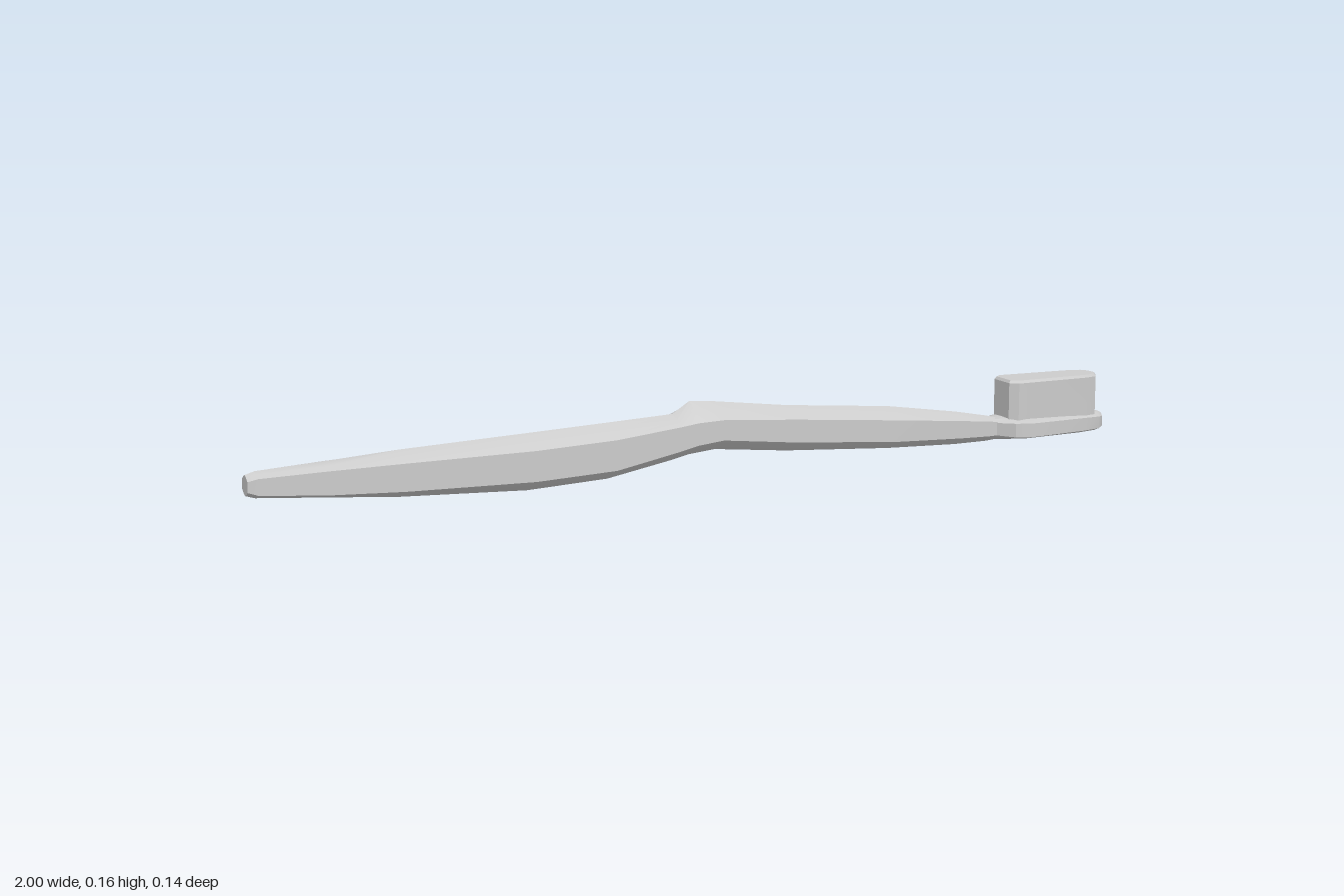
import * as THREE from 'three';
import { toCreasedNormals } from 'three/addons/utils/BufferGeometryUtils.js';

const material = new THREE.MeshStandardMaterial({ color: 0xcccccc });

// Ten-sided cross-sections along x: [x, bottom, lowerSide, upperSide, top, halfWidth]
function loft(sections, flat) {
  const positions = [], index = [], n = 10;
  for (const [x, bottom, low, high, top, w] of sections) {
    const topShoulder = top - (top - high) * flat;
    const bottomShoulder = bottom + (low - bottom) * 0.4;
    const half = [[0, top], [0.52, topShoulder], [1, high], [1, low], [0.52, bottomShoulder], [0, bottom]];
    const ring = [...half, ...half.slice(1, 5).reverse().map(([z, y]) => [-z, y])];
    for (const [z, y] of ring) positions.push(x, y, z * w);
  }
  for (let s = 0; s < sections.length - 1; s++) {
    for (let i = 0; i < n; i++) {
      const a = s * n + i, b = s * n + (i + 1) % n;
      index.push(a, b, a + n, b, b + n, a + n);
    }
  }
  const last = (sections.length - 1) * n;
  for (let i = 1; i < n - 1; i++) {
    index.push(0, i + 1, i, last, last + i, last + i + 1);
  }
  const geometry = new THREE.BufferGeometry();
  geometry.setAttribute('position', new THREE.Float32BufferAttribute(positions, 3));
  geometry.setIndex(index);
  return toCreasedNormals(geometry, 0.5);
}

function addPart(group, name, geometry) {
  const mesh = new THREE.Mesh(geometry, material);
  mesh.name = name;
  group.add(mesh);
}

export function createModel() {
  const group = new THREE.Group();
  group.name = 'toothbrush';

  // Swelling handle with a thumb step at the middle and a slim neck
  addPart(group, 'handle', loft([
    [-1.00, 0.042, 0.052, 0.074, 0.085, 0.020],
    [-0.98, 0.036, 0.046, 0.080, 0.091, 0.028],
    [-0.84, 0.025, 0.038, 0.087, 0.099, 0.046],
    [-0.68, 0.012, 0.032, 0.090, 0.110, 0.050],
    [-0.40, 0.001, 0.029, 0.094, 0.122, 0.056],
    [-0.22, 0.010, 0.037, 0.102, 0.130, 0.056],
    [-0.07, 0.038, 0.065, 0.117, 0.137, 0.051],
    [-0.03, 0.047, 0.074, 0.122, 0.162, 0.050],
    [0.03, 0.053, 0.080, 0.124, 0.157, 0.049],
    [0.20, 0.036, 0.062, 0.112, 0.136, 0.049],
    [0.45, 0.021, 0.043, 0.091, 0.115, 0.048],
    [0.62, 0.016, 0.035, 0.074, 0.090, 0.035],
    [0.70, 0.017, 0.032, 0.065, 0.075, 0.026],
    [0.735, 0.020, 0.032, 0.060, 0.067, 0.020]
  ], 0.4));

  // Paddle-shaped head
  addPart(group, 'head', loft([
    [0.715, 0.020, 0.032, 0.060, 0.068, 0.021],
    [0.745, 0.018, 0.031, 0.062, 0.071, 0.058],
    [0.78, 0.016, 0.031, 0.062, 0.071, 0.071],
    [0.93, 0.017, 0.031, 0.060, 0.069, 0.052],
    [0.975, 0.019, 0.031, 0.058, 0.067, 0.040],
    [0.993, 0.022, 0.033, 0.056, 0.065, 0.025],
    [1.00, 0.026, 0.035, 0.054, 0.062, 0.014]
  ], 0.1));

  // Single bristle block with a slightly bevelled top
  const outline = new THREE.Shape([
    [0.745, -0.030], [0.76, -0.042], [0.94, -0.036], [0.966, -0.028], [0.976, -0.012],
    [0.976, 0.012], [0.966, 0.028], [0.94, 0.036], [0.76, 0.042], [0.745, 0.030]
  ].map(([x, z]) => new THREE.Vector2(x, z)));
  const bristles = new THREE.ExtrudeGeometry(outline, {
    depth: 0.093, bevelEnabled: true, bevelThickness: 0.006, bevelSize: 0.004, bevelSegments: 1
  });
  bristles.rotateX(-Math.PI / 2).translate(0, 0.057, 0);
  addPart(group, 'bristles', toCreasedNormals(bristles, 0.5));

  return group;
}
